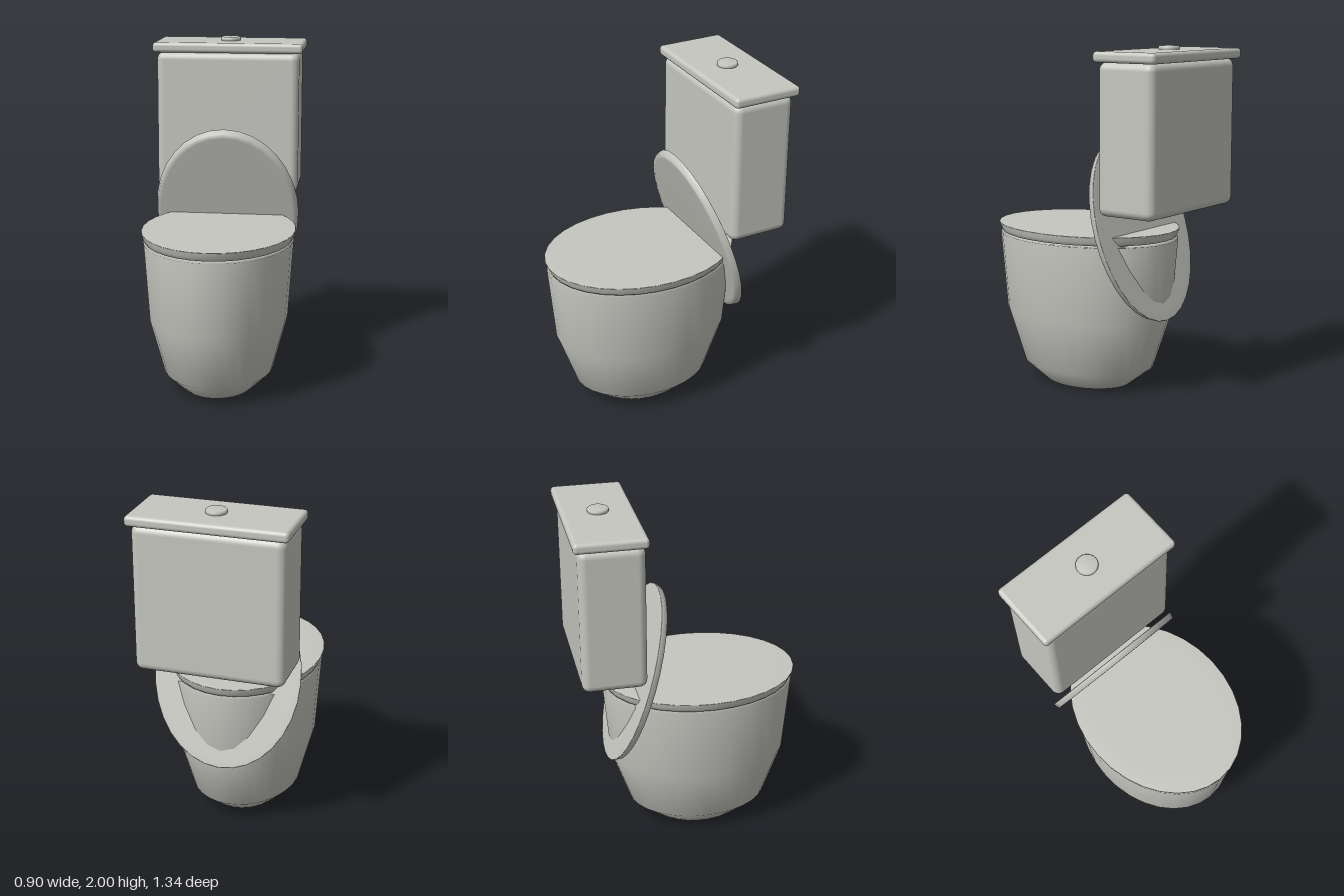
import * as THREE from 'three';
import { RoundedBoxGeometry } from 'three/addons/geometries/RoundedBoxGeometry.js';

export function createModel() {
  const model = new THREE.Group();
  model.name = 'toilet';
  const ceramic = new THREE.MeshStandardMaterial({ color: 0xc6c6c0 });
  ceramic.name = 'ceramic';

  function add(name, geometry, x, y, z) {
    const mesh = new THREE.Mesh(geometry, ceramic);
    mesh.name = name;
    mesh.position.set(x, y, z);
    model.add(mesh);
    return mesh;
  }
  // Turned part from [radius, height] pairs, bottom to top
  const turned = (pairs) =>
    new THREE.LatheGeometry(pairs.map(([r, y]) => new THREE.Vector2(r, y)), 32);

  // Oval bowl, closed under the seat
  const bowl = add('bowl', turned([
    [0, 0], [0.21, 0], [0.32, 0.11], [0.405, 0.43], [0.436, 0.885], [0.4, 0.885], [0, 0.885],
  ]), 0, 0, 0.092);
  bowl.scale.z = 1.3;

  // Closed oval seat, floating just above the bowl
  const seat = add('seat', turned([
    [0, 0], [0.4, 0], [0.43, 0.002], [0.437, 0.02], [0.447, 0.05], [0.445, 0.054], [0.36, 0.054], [0, 0.054],
  ]), 0, 0.894, 0.094);
  seat.scale.z = 1.285;

  // Raised oval lid, passing through the back of the bowl
  const lid = add('lid', turned([
    [0, -0.019], [0.4, -0.019], [0.424, -0.018], [0.434, 0.017], [0.43, 0.019], [0.4, 0.019], [0, 0.019],
  ]), 0, 0.957, -0.288);
  lid.scale.z = 1.268;
  lid.rotation.x = -1.261;

  // Cistern with its cover and flush button
  add('tank', new RoundedBoxGeometry(0.85, 0.84, 0.365, 4, 0.045), 0, 1.5, -0.463);
  add('tankCover', new RoundedBoxGeometry(0.896, 0.06, 0.405, 4, 0.022), 0, 1.947, -0.468);
  add('flushButton', turned([
    [0.056, 0], [0.06, 0.01], [0.06, 0.02], [0.054, 0.027], [0, 0.028],
  ]), 0, 1.972, -0.468);

  return model;
}
